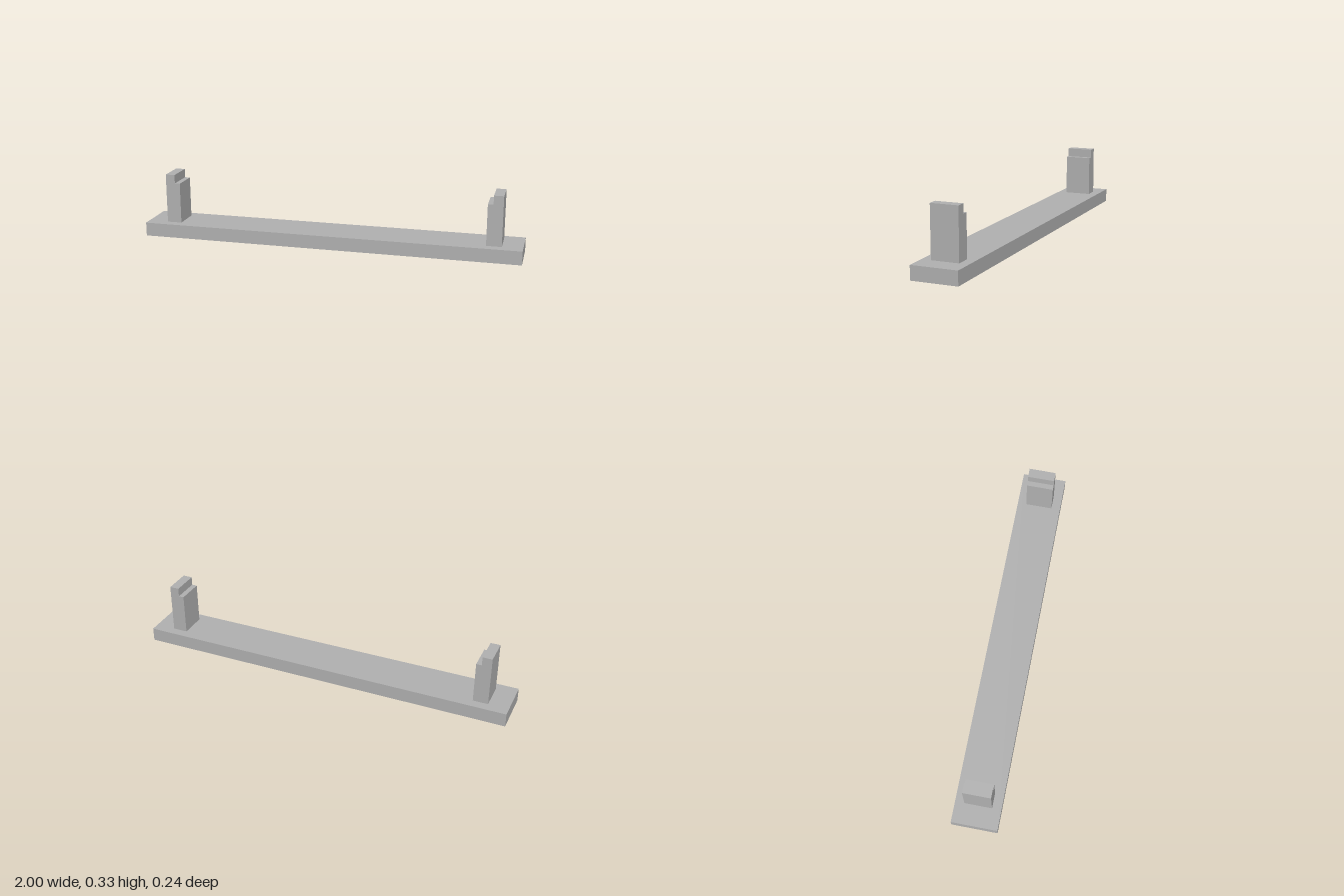
import * as THREE from 'three';

export function createModel() {
  const group = new THREE.Group();
  const grey = new THREE.MeshStandardMaterial({ color: 0xb2b2b2 });
  grey.name = 'plain grey';

  // Long flat base
  const baseHeight = 0.072;
  const base = new THREE.Mesh(new THREE.BoxGeometry(2, baseHeight, 0.238), grey);
  base.name = 'base';
  base.position.y = baseHeight / 2;
  group.add(base);

  // Upright with a notch on its inner top edge
  const profile = new THREE.Shape([
    [0.816, baseHeight], [0.894, baseHeight], [0.894, 0.334],
    [0.844, 0.334], [0.844, 0.288], [0.816, 0.288],
  ].map(([x, y]) => new THREE.Vector2(x, y)));
  const depth = 0.142;
  const postGeometry = new THREE.ExtrudeGeometry(profile, { depth, bevelEnabled: false });
  postGeometry.translate(0, 0, -depth / 2);

  // A half turn mirrors the symmetric post to the other end
  for (const [name, turn] of [['leftPost', 0], ['rightPost', Math.PI]]) {
    const post = new THREE.Mesh(postGeometry, grey);
    post.name = name;
    post.rotation.y = turn;
    group.add(post);
  }
  return group;
}
